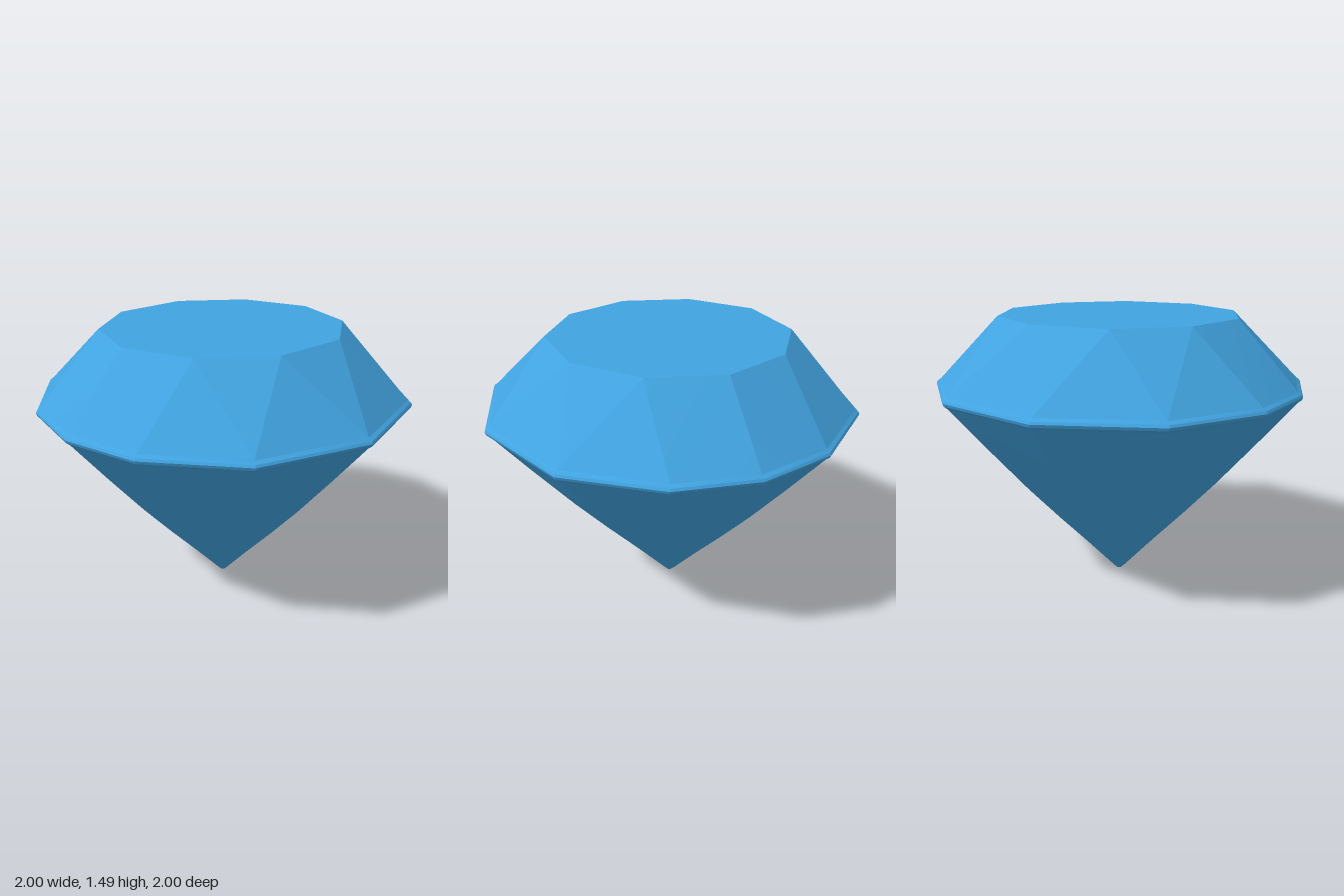
import * as THREE from 'three';
import { toCreasedNormals } from 'three/addons/utils/BufferGeometryUtils.js';

// One quarter of each outline as [x, z], from the side (+x) towards the front (+z)
const GIRDLE = [[1, 0], [0.91, 0.41], [0.58, 0.82], [0, 1]];
const TABLE = [[0.655, 0], [0.53, 0.37], [0.21, 0.61], [0, 0.61]];

// Mirror a quarter outline into a closed ring of 12 points
function mirrorRing(q) {
  const half = [...q, ...q.slice(0, 3).reverse().map(([x, z]) => [-x, z])];
  return [...half, ...half.slice(1, 6).reverse().map(([x, z]) => [x, -z])];
}

const girdleOutline = mirrorRing(GIRDLE);
const tableOutline = mirrorRing(TABLE);

const ring = (outline, y, scale = 1) =>
  outline.map(([x, z]) => new THREE.Vector3(x * scale, y, z * scale));

// Facets between stacked rings; diagonals are mirrored from quarter to quarter
function facets(rings, crease) {
  const points = [];
  for (let r = 0; r + 1 < rings.length; r++) {
    const low = rings[r], high = rings[r + 1];
    for (let i = 0; i < 12; i++) {
      const j = (i + 1) % 12;
      if (Math.floor(i / 3) % 2 === 0) {
        points.push(low[i], high[i], low[j], low[j], high[i], high[j]);
      } else {
        points.push(low[i], high[j], low[j], low[i], high[i], high[j]);
      }
    }
  }
  return toCreasedNormals(new THREE.BufferGeometry().setFromPoints(points), crease);
}

export function createModel() {
  const group = new THREE.Group();
  group.name = 'cutGem';
  const blue = new THREE.MeshStandardMaterial({ color: 0x41a3e0 });
  blue.name = 'gemBlue';

  const add = (name, geometry) => {
    const mesh = new THREE.Mesh(geometry, blue);
    mesh.name = name;
    group.add(mesh);
  };

  // Lower cone: slightly bowed, with a blunted point
  const pavilion = [[0, 0.0001], [0.006, 0.016], [0.025, 0.035], [0.2, 0.196],
    [0.4, 0.385], [0.6, 0.567], [0.85, 0.78], [1.085, 0.975]];
  add('pavilion', facets(pavilion.map(([y, s]) => ring(girdleOutline, y, s)), 0.2));

  // Narrow rounded rim
  const rim = [[1.085, 0.975], [1.1, 0.994], [1.115, 1], [1.127, 0.993], [1.14, 0.975]];
  add('girdle', facets(rim.map(([y, s]) => ring(girdleOutline, y, s)), 0.4));

  // Sloping upper facets
  const tableRing = ring(tableOutline, 1.49);
  add('crown', facets([ring(girdleOutline, 1.14, 0.975), tableRing], 0.12));

  // Flat top
  const centre = ring(tableOutline, 1.49, 0);
  add('table', facets([tableRing, centre], 0.1));

  return group;
}
